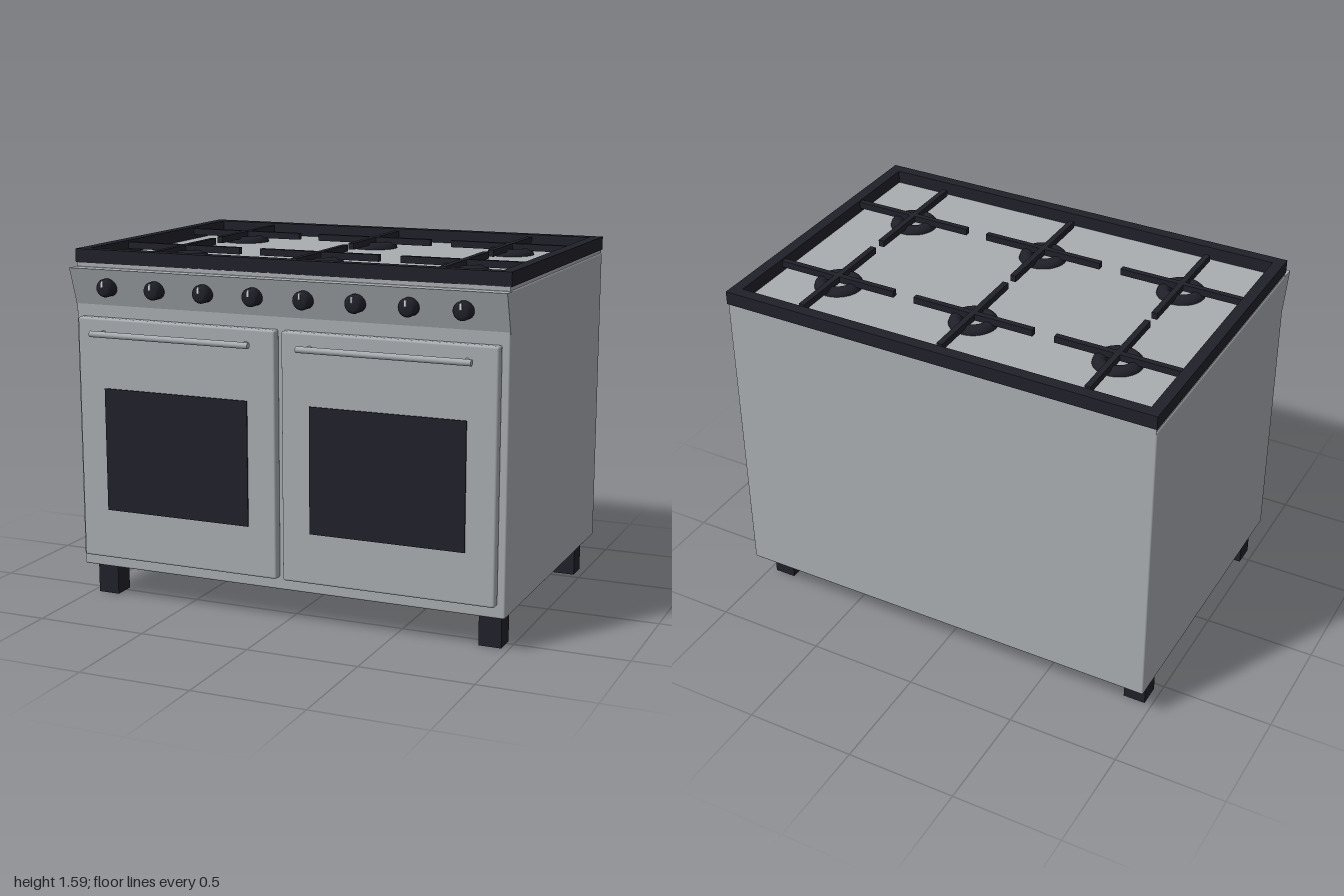
import * as THREE from 'three';
import { RoundedBoxGeometry } from 'three/addons/geometries/RoundedBoxGeometry.js';

const material = (name, color) => {
  const m = new THREE.MeshStandardMaterial({ color });
  m.name = name;
  return m;
};

export function createModel() {
  const steel = material('brushed steel', 0xa9adb1);
  const black = material('black enamel', 0x20202a);
  const white = material('pointer white', 0xd6d8da);

  const range = new THREE.Group();
  range.name = 'rangeCooker';

  const add = (name, geometry, mat, x, y, z, parent = range) => {
    const mesh = new THREE.Mesh(geometry, mat);
    mesh.name = name;
    mesh.position.set(x, y, z);
    parent.add(mesh);
    return mesh;
  };
  // Box given by its limits on each axis; a radius rounds its edges
  const block = (name, mat, [x0, x1], [y0, y1], [z0, z1], radius = 0, parent = range) => {
    const size = [x1 - x0, y1 - y0, z1 - z0];
    const geometry = radius ? new RoundedBoxGeometry(...size, 2, radius) : new THREE.BoxGeometry(...size);
    return add(name, geometry, mat, (x0 + x1) / 2, (y0 + y1) / 2, (z0 + z1) / 2, parent);
  };

  // Cabinet and hob plate
  block('body', steel, [-1, 1], [0.15, 1.51], [-0.74, 0.633], 0.008);
  block('hobPlate', steel, [-0.995, 0.995], [1.5, 1.527], [-0.74, 0.63]);

  // Raised rim around the hob
  const rim = new THREE.Shape([[-1, -0.63], [1, -0.63], [1, 0.745], [-1, 0.745]].map(p => new THREE.Vector2(...p)));
  rim.holes.push(new THREE.Path([[-0.95, -0.58], [-0.95, 0.693], [0.95, 0.693], [0.95, -0.58]].map(p => new THREE.Vector2(...p))));
  const rimGeometry = new THREE.ExtrudeGeometry(rim, { depth: 0.06, bevelEnabled: false });
  rimGeometry.rotateX(-Math.PI / 2);
  add('hobRim', rimGeometry, black, 0, 1.525, 0);

  // Sloping control panel, a wedge extruded across the width
  const wedge = new THREE.Shape([[-0.62, 1.335], [-0.63, 1.335], [-0.685, 1.507], [-0.62, 1.507]].map(p => new THREE.Vector2(...p)));
  const wedgeGeometry = new THREE.ExtrudeGeometry(wedge, { depth: 2, bevelEnabled: false });
  wedgeGeometry.rotateY(Math.PI / 2);
  add('controlPanel', wedgeGeometry, steel, -1, 0, 0);

  // Knobs with pointers
  const knobProfile = [[0, -0.015], [0.04, -0.015], [0.04, 0.034], [0.034, 0.046], [0.026, 0.053], [0, 0.053]]
    .map(p => new THREE.Vector2(...p));
  const knobGeometry = new THREE.LatheGeometry(knobProfile, 24);
  knobGeometry.rotateX(Math.PI / 2);
  for (let i = 0; i < 8; i++) {
    const knob = new THREE.Group();
    knob.name = 'knob';
    knob.position.set((i - 3.5) * 0.2335, 1.428, 0.662);
    range.add(knob);
    add('knobGrip', knobGeometry, black, 0, 0, 0, knob);
    block('knobPointer', white, [-0.005, 0.005], [0.006, 0.034], [0.05, 0.058], 0, knob);
  }

  // Burners and pan supports
  const ringGeometry = new THREE.TorusGeometry(0.076, 0.031, 12, 32);
  ringGeometry.rotateX(Math.PI / 2);
  for (const x of [-0.667, 0, 0.667]) {
    for (const z of [-0.387, 0.245]) {
      const burner = new THREE.Group();
      burner.name = 'burner';
      burner.position.set(x, 1.527, z);
      range.add(burner);
      add('burnerRing', ringGeometry, black, 0, 0, 0, burner);
      block('supportBarAcross', black, [-0.283, 0.283], [0.02, 0.05], [-0.013, 0.013], 0, burner);
      block('supportBarDeep', black, [-0.013, 0.013], [0.02, 0.05], [-0.283, 0.283], 0, burner);
    }
  }

  // Oven doors with windows and bar handles
  const barGeometry = new THREE.CylinderGeometry(0.014, 0.014, 0.764, 16);
  barGeometry.rotateZ(Math.PI / 2);
  const postGeometry = new THREE.CylinderGeometry(0.009, 0.009, 0.06, 12);
  postGeometry.rotateX(Math.PI / 2);
  for (const [side, x] of [['right', -0.493], ['left', 0.491]]) {
    const door = new THREE.Group();
    door.name = side + 'Door';
    door.position.x = x;
    range.add(door);
    block('doorPanel', steel, [-0.477, 0.477], [0.207, 1.292], [0.63, 0.677], 0.01, door);
    block('doorWindow', black, [-0.347, 0.347], [0.43, 0.982], [0.674, 0.683], 0, door);
    add('handleBar', barGeometry, steel, 0, 1.23, 0.731, door);
    for (const s of [-1, 1]) add('handlePost', postGeometry, steel, s * 0.345, 1.23, 0.7, door);
  }

  // Feet
  for (const x of [-0.917, 0.917]) {
    for (const z of [0.519, -0.584]) {
      block('foot', black, [x - 0.05, x + 0.05], [0, 0.155], [z - 0.05, z + 0.05]);
    }
  }

  return range;
}
